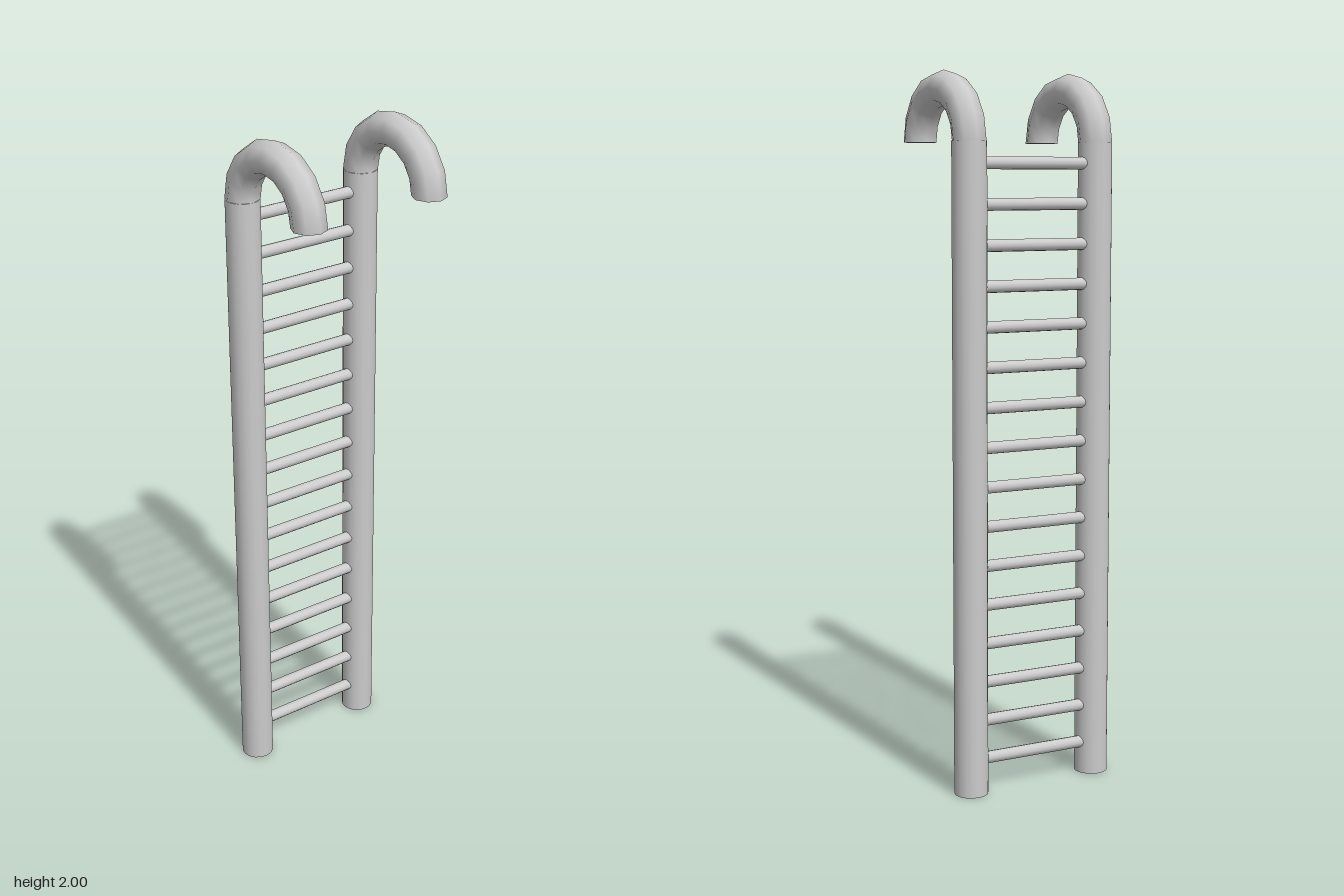
import * as THREE from 'three';

const material = new THREE.MeshStandardMaterial({ color: 0xcccccc });
const RAIL_R = 0.048, BEND_R = 0.145, RAIL_Z = 0.198, RAIL_TOP = 1.807;
const RUNGS = 16, RUNG_R = 0.017;

function add(parent, name, geometry, x, y, z) {
  const mesh = new THREE.Mesh(geometry, material);
  mesh.name = name;
  mesh.position.set(x, y, z);
  parent.add(mesh);
  return mesh;
}

// Straight pole, half-ring hook and the flat end of the hook
function createRail(name, z) {
  const rail = new THREE.Group();
  rail.name = name;
  rail.position.z = z;
  add(rail, 'pole', new THREE.CylinderGeometry(RAIL_R, RAIL_R, RAIL_TOP, 16), -BEND_R, RAIL_TOP / 2, 0);
  add(rail, 'hook', new THREE.TorusGeometry(BEND_R, RAIL_R, 8, 8, Math.PI), 0, RAIL_TOP, 0);
  const cap = add(rail, 'hookEnd', new THREE.CircleGeometry(RAIL_R, 8), BEND_R, RAIL_TOP, 0);
  cap.rotation.x = Math.PI / 2;
  return rail;
}

export function createModel() {
  const group = new THREE.Group();
  group.name = 'hookLadder';
  group.add(createRail('frontRail', RAIL_Z), createRail('backRail', -RAIL_Z));

  // Rungs, slightly skewed between the two rails
  const from = new THREE.Vector3(-0.139, 0, -0.158);
  const to = new THREE.Vector3(-0.153, 0, 0.16);
  const axis = to.clone().sub(from);
  const middle = from.clone().add(to).multiplyScalar(0.5);
  const rungGeometry = new THREE.CylinderGeometry(RUNG_R, RUNG_R, axis.length(), 12);
  axis.normalize();
  for (let i = 0; i < RUNGS; i++) {
    const y = 0.092 + i * 0.1105;
    const rung = add(group, `rung${i + 1}`, rungGeometry, middle.x, y, middle.z);
    rung.quaternion.setFromUnitVectors(new THREE.Vector3(0, 1, 0), axis);
  }
  return group;
}
